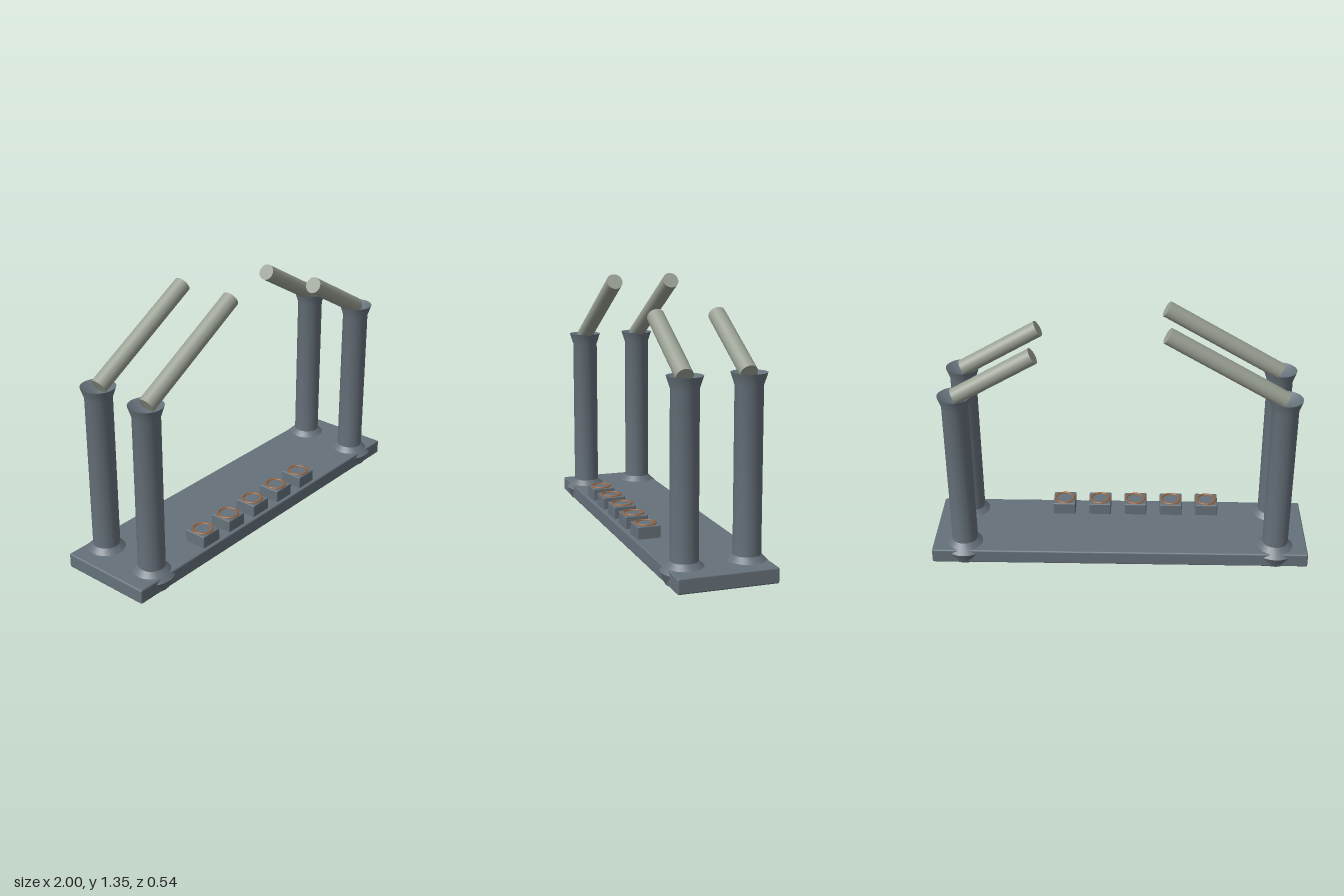
import * as THREE from 'three';
import { toCreasedNormals } from 'three/addons/utils/BufferGeometryUtils.js';
import { RoundedBoxGeometry } from 'three/addons/geometries/RoundedBoxGeometry.js';

const slate = new THREE.MeshStandardMaterial({ color: 0x66717a });
const pale = new THREE.MeshStandardMaterial({ color: 0x9aa094 });
const copper = new THREE.MeshStandardMaterial({ color: 0x9a6238 });

const COLUMN_X = 0.83, COLUMN_Z = 0.157;

function addMesh(parent, name, geometry, material, x = 0, y = 0, z = 0) {
  const mesh = new THREE.Mesh(geometry, material);
  mesh.name = name;
  mesh.position.set(x, y, z);
  parent.add(mesh);
  return mesh;
}

// Column turned on a lathe: flared foot, straight shaft, cupped flared top
function columnGeometry() {
  const profile = [
    [0, 0], [0.09, 0], [0.115, 0.06], [0.068, 0.108],
    [0.068, 0.912], [0.087, 0.97], [0.05, 0.945], [0, 0.93],
  ].map(([r, y]) => new THREE.Vector2(r, y));
  return toCreasedNormals(new THREE.LatheGeometry(profile, 24), 0.5);
}

// Straight round rod between two points in the XY plane
function addRod(parent, name, from, to, z) {
  const a = new THREE.Vector3(from[0], from[1], z);
  const b = new THREE.Vector3(to[0], to[1], z);
  const rod = addMesh(parent, name, new THREE.CylinderGeometry(0.043, 0.043, a.distanceTo(b), 24), pale);
  rod.position.copy(a).add(b).multiplyScalar(0.5);
  rod.quaternion.setFromUnitVectors(new THREE.Vector3(0, 1, 0), b.sub(a).normalize());
}

export function createModel() {
  const model = new THREE.Group();
  model.name = 'columnStand';

  // Base slab
  addMesh(model, 'base', new RoundedBoxGeometry(2, 0.077, 0.5, 2, 0.008), slate, 0, 0.0425, 0);

  // Four columns, each carrying a rod that leans inwards
  const column = columnGeometry();
  for (const z of [COLUMN_Z, -COLUMN_Z]) {
    const row = z > 0 ? 'front' : 'back';
    addMesh(model, row + 'RightColumn', column, slate, -COLUMN_X, 0, z);
    addMesh(model, row + 'LeftColumn', column, slate, COLUMN_X, 0, z);
    addRod(model, row + 'RightRod', [-0.828, 0.965], [-0.233, 1.312], z);
    addRod(model, row + 'LeftRod', [0.828, 0.965], [0.428, 1.195], z);
  }

  // Row of small blocks, each with a thin ring on top
  const block = new RoundedBoxGeometry(0.122, 0.075, 0.122, 2, 0.006);
  const ring = new THREE.TorusGeometry(0.05, 0.006, 8, 32).rotateX(Math.PI / 2);
  for (let i = 0; i < 5; i++) {
    const unit = new THREE.Group();
    unit.name = 'button' + (i + 1);
    unit.position.set(-0.474 + i * 0.197, 0, 0.172);
    addMesh(unit, 'buttonBlock', block, slate, 0, 0.108, 0);
    addMesh(unit, 'buttonRing', ring, copper, 0, 0.146, 0);
    model.add(unit);
  }
  return model;
}
